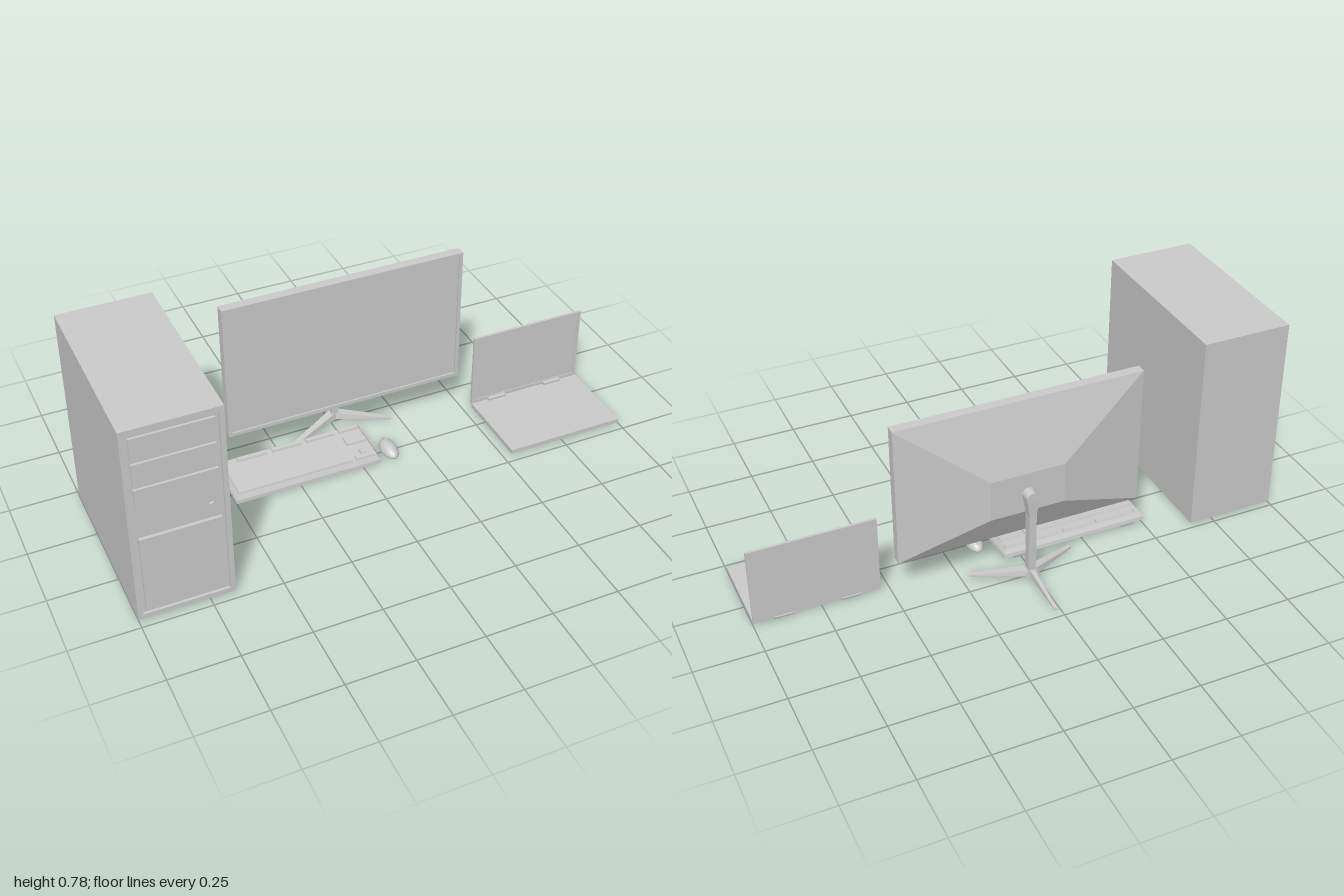
import * as THREE from 'three';
import { ConvexGeometry } from 'three/addons/geometries/ConvexGeometry.js';

const grey = new THREE.MeshStandardMaterial({ color: 0xcccccc });

function add(parent, name, geometry) {
  const mesh = new THREE.Mesh(geometry, grey);
  mesh.name = name;
  parent.add(mesh);
  return mesh;
}

// Box given by its limits on each axis
function box(parent, name, x0, x1, y0, y1, z0, z1) {
  const mesh = add(parent, name, new THREE.BoxGeometry(x1 - x0, y1 - y0, z1 - z0));
  mesh.position.set((x0 + x1) / 2, (y0 + y1) / 2, (z0 + z1) / 2);
  return mesh;
}

// Flat-faced solid spanned by corner points
function solid(parent, name, points) {
  return add(parent, name, new ConvexGeometry(points.map(p => new THREE.Vector3(...p))));
}

// Four corners of a rectangle facing z
const rectZ = (x0, x1, y0, y1, z) => [[x0, y0, z], [x1, y0, z], [x1, y1, z], [x0, y1, z]];
// Four corners of a rectangle facing y
const rectY = (x0, x1, z0, z1, y) => [[x0, y, z0], [x1, y, z0], [x1, y, z1], [x0, y, z1]];

// Raised rectangular rim of width b
function frame(parent, name, x0, x1, y0, y1, b, z0, z1) {
  const path = pts => pts.map(p => new THREE.Vector2(p[0], p[1]));
  const shape = new THREE.Shape(path(rectZ(x0, x1, y0, y1, 0)));
  shape.holes.push(new THREE.Path(path(rectZ(x0 + b, x1 - b, y0 + b, y1 - b, 0))));
  const geometry = new THREE.ExtrudeGeometry(shape, { depth: z1 - z0, bevelEnabled: false });
  add(parent, name, geometry).position.z = z0;
}

function group(parent, name) {
  const g = new THREE.Group();
  g.name = name;
  parent.add(g);
  return g;
}

function buildTower(root) {
  const g = group(root, 'tower');
  box(g, 'case', -1, -0.66, 0.005, 0.778, -0.23, 0.458);
  frame(g, 'frontRim', -1, -0.66, 0.005, 0.778, 0.018, 0.458, 0.468);
  // drive bays
  for (const y of [0.655, 0.555, 0.455]) box(g, 'driveBay', -0.97, -0.69, y, y + 0.087, 0.456, 0.467);
  box(g, 'lowerPanel', -0.97, -0.69, 0.042, 0.342, 0.456, 0.47);
  const button = add(g, 'powerButton', new THREE.CylinderGeometry(0.012, 0.012, 0.01, 20));
  button.rotation.x = Math.PI / 2;
  button.position.set(-0.717, 0.395, 0.462);
}

function buildMonitor(root) {
  const g = group(root, 'monitor');
  box(g, 'panel', -0.45, 0.485, 0.15, 0.697, -0.175, -0.144);
  frame(g, 'bezel', -0.45, 0.485, 0.15, 0.697, 0.014, -0.144, -0.138);
  solid(g, 'taperedBack', [
    ...rectZ(-0.45, 0.485, 0.15, 0.697, -0.175),
    ...rectZ(-0.122, 0.16, 0.278, 0.437, -0.237),
  ]);

  // column and rounded mounting head
  const cx = 0.018;
  box(g, 'column', cx - 0.014, cx + 0.014, 0.03, 0.31, -0.276, -0.244);
  const ring = z => Array.from({ length: 13 }, (_, i) => {
    const a = Math.PI * i / 12;
    return [cx + 0.024 * Math.cos(a), 0.354 + 0.024 * Math.sin(a), z];
  });
  solid(g, 'mountingHead', [
    ...ring(-0.278), ...ring(-0.235),
    ...rectZ(cx - 0.014, cx + 0.014, 0.31, 0.315, -0.235),
    ...rectZ(cx - 0.014, cx + 0.014, 0.28, 0.31, -0.276),
    ...rectZ(cx - 0.014, cx + 0.014, 0.28, 0.31, -0.246),
  ]);

  // three tapered legs meeting under the column
  const hub = [cx, -0.26];
  for (const [tx, tz, w0, w1] of [[cx, -0.47, 0.02, 0.012], [cx - 0.2, -0.17, 0.04, 0.018], [cx + 0.2, -0.17, 0.04, 0.018]]) {
    const dx = tx - hub[0], dz = tz - hub[1], len = Math.hypot(dx, dz);
    const across = (x, z, y, w) => [-1, 1].map(s => [x - s * dz / len * w / 2, y, z + s * dx / len * w / 2]);
    solid(g, 'standLeg', [
      ...across(...hub, 0.015, w0), ...across(...hub, 0.042, w0 * 0.8),
      ...across(tx, tz, 0.005, w1), ...across(tx, tz, 0.011, w1),
    ]);
  }
  solid(g, 'standHub', [
    ...rectY(cx - 0.024, cx + 0.024, -0.28, -0.24, 0.015),
    ...rectY(cx - 0.016, cx + 0.016, -0.278, -0.242, 0.042),
  ]);
}

function buildKeyboard(root) {
  const g = group(root, 'keyboard');
  g.position.set(-0.216, 0.005, 0.06);
  g.rotation.x = 0.06;
  solid(g, 'keyboardBody', [
    ...rectY(-0.287, 0.287, -0.21, 0, 0),
    ...rectY(-0.285, 0.285, -0.208, -0.002, 0.014),
    ...rectY(-0.275, 0.275, -0.2, -0.01, 0.03),
  ]);
  // blocks of keys with slightly sloped sides: x0, x1, z0, z1
  const blocks = [
    [-0.274, -0.252, -0.196, -0.174], [-0.214, -0.095, -0.196, -0.174],
    [-0.078, 0.04, -0.196, -0.174], [0.058, 0.176, -0.196, -0.174],
    [0.19, 0.274, -0.196, -0.174],
    [-0.274, 0.174, -0.148, -0.012], [0.19, 0.274, -0.148, -0.1],
    [0.219, 0.245, -0.066, -0.038], [0.19, 0.274, -0.038, -0.012],
  ];
  for (const [x0, x1, z0, z1] of blocks) {
    solid(g, 'keyBlock', [
      ...rectY(x0, x1, z0, z1, 0.028),
      ...rectY(x0 + 0.003, x1 - 0.003, z0 + 0.003, z1 - 0.003, 0.038),
    ]);
  }
  // feet under the back edge
  for (const s of [-1, 1]) {
    solid(g, 'foot', [
      ...rectY(s * 0.22 - 0.025, s * 0.22 + 0.025, -0.205, -0.18, 0.002),
      ...rectY(s * 0.22 - 0.025, s * 0.22 + 0.025, -0.2, -0.192, -0.016),
    ]);
  }
}

function buildMouse(root) {
  const g = group(root, 'mouse');
  g.position.set(0.128, 0.004, 0);
  const shell = new THREE.SphereGeometry(1, 32, 12, 0, Math.PI * 2, 0, Math.PI / 2);
  add(g, 'shell', shell).scale.set(0.031, 0.031, 0.06);
  const sole = add(g, 'sole', new THREE.CylinderGeometry(1, 0.95, 0.004, 32));
  sole.scale.set(0.031, 1, 0.06);
  sole.position.y = -0.002;
  const wheel = add(g, 'scrollWheel', new THREE.CylinderGeometry(0.009, 0.009, 0.006, 20));
  wheel.rotation.z = Math.PI / 2;
  wheel.position.set(0, 0.022, -0.034);
}

function buildLaptop(root) {
  const g = group(root, 'laptop');
  box(g, 'laptopBase', 0.535, 1, 0.003, 0.02, -0.105, 0.215);
  box(g, 'lid', 0.535, 1, 0.02, 0.32, -0.117, -0.11);
  frame(g, 'lidBezel', 0.535, 1, 0.02, 0.32, 0.012, -0.11, -0.107);
  const lens = add(g, 'webcam', new THREE.CylinderGeometry(0.004, 0.004, 0.002, 16));
  lens.rotation.x = Math.PI / 2;
  lens.position.set(0.767, 0.314, -0.1065);
  // hinges
  for (const x of [0.642, 0.888]) {
    box(g, 'hingeBlock', x - 0.037, x + 0.037, 0.008, 0.029, -0.112, -0.092);
    const pin = add(g, 'hingePin', new THREE.CylinderGeometry(0.008, 0.008, 0.074, 16));
    pin.rotation.z = Math.PI / 2;
    pin.position.set(x, 0.014, -0.109);
  }
}

export function createModel() {
  const root = new THREE.Group();
  root.name = 'desktopComputerSet';
  buildTower(root);
  buildMonitor(root);
  buildKeyboard(root);
  buildMouse(root);
  buildLaptop(root);
  return root;
}
